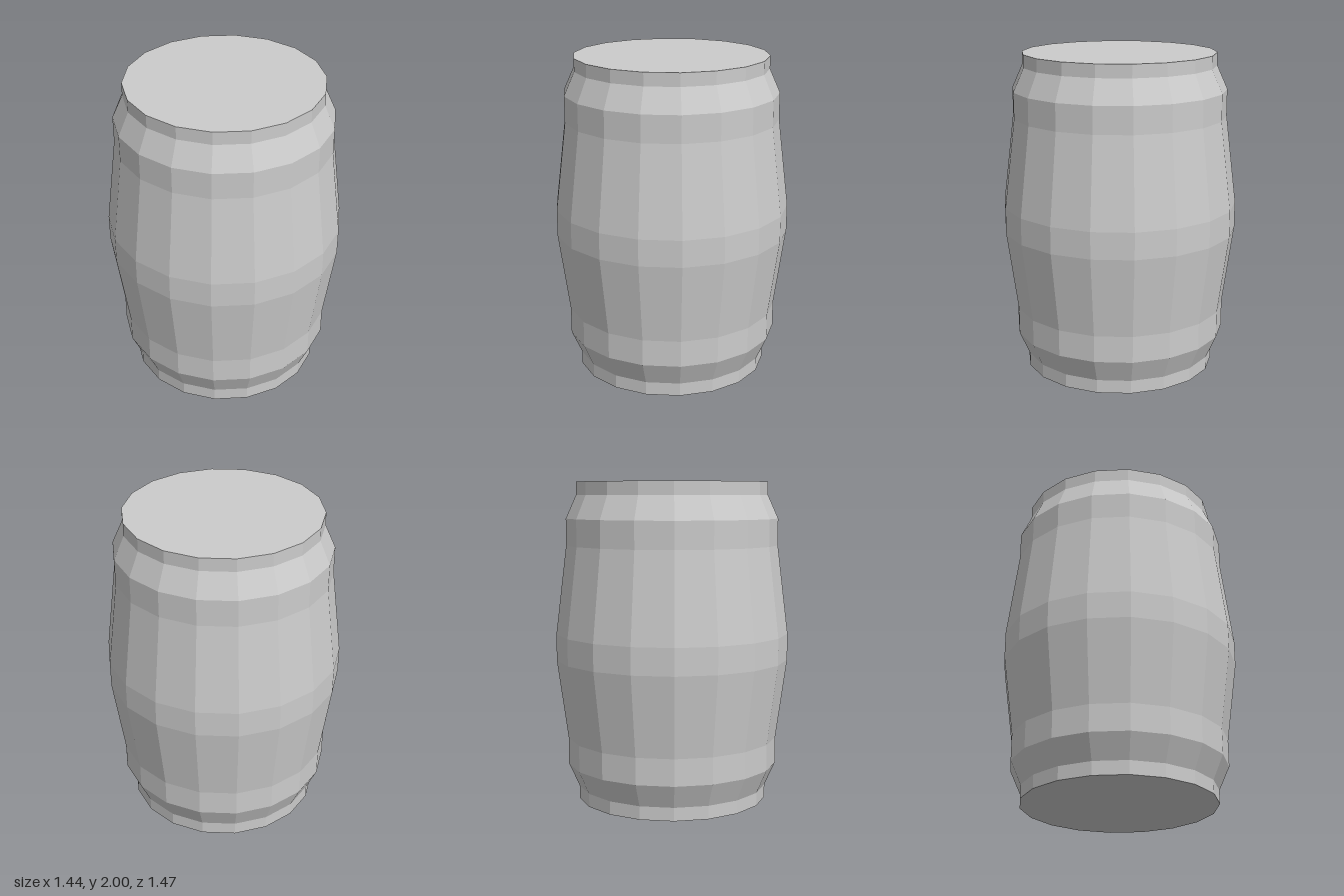
import * as THREE from 'three';

const SIDES = 18;
const HEIGHT = 2;
const RIM = 0.6, SHOULDER = 0.665, BELLY = 0.733;

export function createModel() {
  const group = new THREE.Group();
  group.name = 'barrel';
  const material = new THREE.MeshStandardMaterial({ color: 0xcccccc, flatShading: true });

  const add = (name, geometry) => {
    const mesh = new THREE.Mesh(geometry, material);
    mesh.name = name;
    group.add(mesh);
    return mesh;
  };

  // Faceted wall: [radius, height] from bottom rim to top rim
  const profile = [
    [RIM, 0], [RIM, 0.083],
    [SHOULDER, 0.23], [SHOULDER, 0.395],
    [BELLY, 0.895], [BELLY, 1.06],
    [SHOULDER, 1.61], [SHOULDER, 1.775],
    [RIM, 1.92], [RIM, HEIGHT],
  ].map(([r, y]) => new THREE.Vector2(r, y));
  add('barrelWall', new THREE.LatheGeometry(profile, SIDES));

  // Flat ends, with a corner on the z axis to meet the wall
  const disc = () => new THREE.CircleGeometry(RIM, SIDES, Math.PI / 2);
  add('lid', disc().rotateX(-Math.PI / 2)).position.y = HEIGHT;
  add('base', disc().rotateX(Math.PI / 2));

  return group;
}
